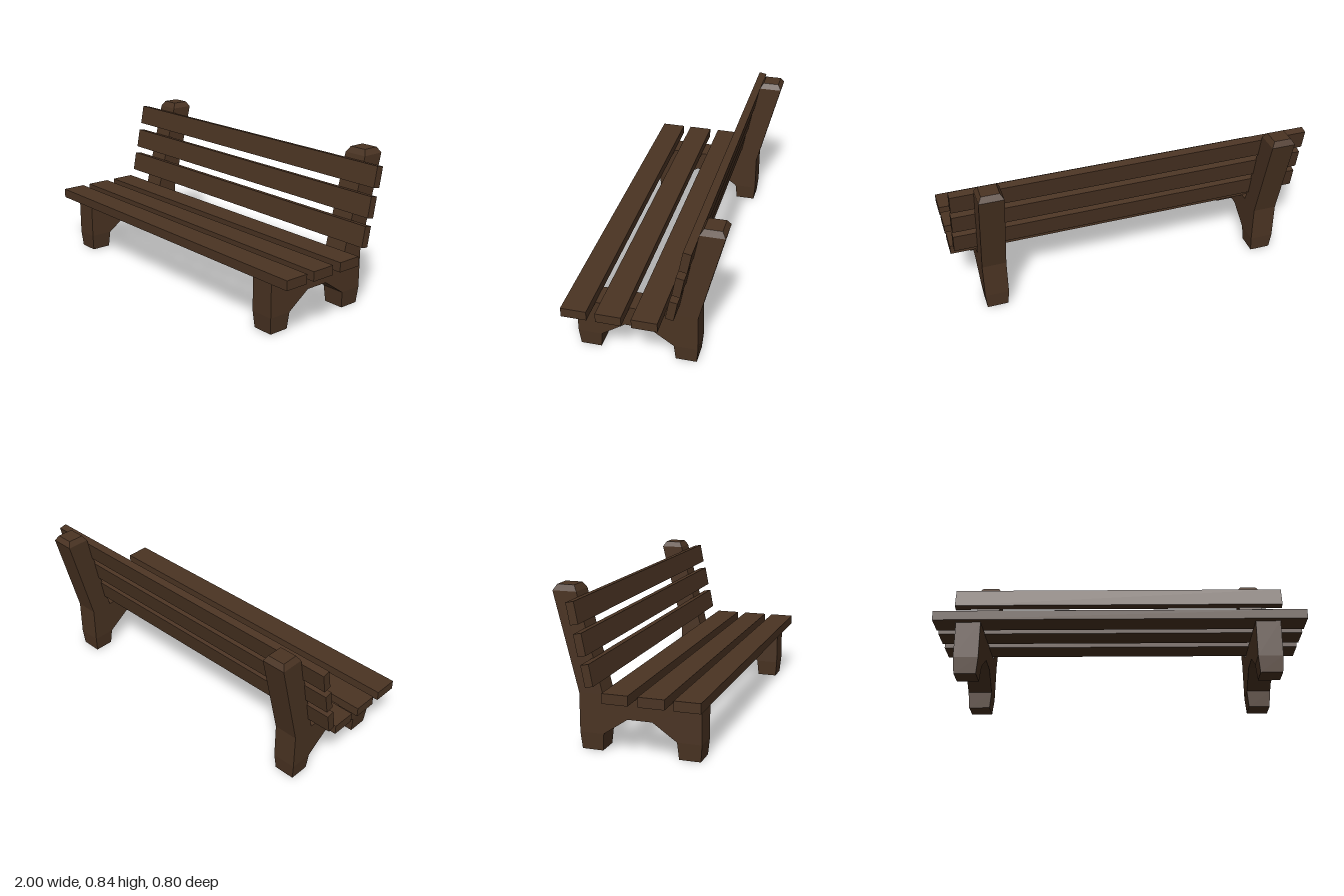
import * as THREE from 'three';

const wood = new THREE.MeshStandardMaterial({ color: 0x4b3423 });
wood.name = 'dark brown wood';

function add(parent, name, geometry, x, y, z) {
  const mesh = new THREE.Mesh(geometry, wood);
  mesh.name = name;
  mesh.position.set(x, y, z);
  parent.add(mesh);
  return mesh;
}

// Box whose top (end = 1) or bottom (end = -1) is drawn in by insetX and insetZ
function taperedBox(w, h, d, end, insetX, insetZ) {
  const geo = new THREE.BoxGeometry(w, h, d);
  const p = geo.attributes.position;
  for (let i = 0; i < p.count; i++) {
    if (p.getY(i) * end < 0) continue;
    p.setX(i, p.getX(i) - Math.sign(p.getX(i)) * insetX);
    p.setZ(i, p.getZ(i) - Math.sign(p.getZ(i)) * insetZ);
  }
  geo.computeVertexNormals();
  return geo;
}

const SUPPORT_WIDTH = 0.132;

// Side frame with arched base and leaning back post, profile as (z, y)
function makeSupport() {
  const support = new THREE.Group();
  const profile = [
    [0.371, 0.091], [0.243, 0.091], [0.115, 0.18], [-0.015, 0.18], [-0.144, 0.091],
    [-0.272, 0.091], [-0.272, 0.296], [-0.401, 0.806], [-0.273, 0.806],
    [-0.144, 0.296], [0.371, 0.296],
  ].map(([z, y]) => new THREE.Vector2(z, y));
  const geo = new THREE.ExtrudeGeometry(new THREE.Shape(profile), {
    depth: SUPPORT_WIDTH, bevelEnabled: false,
  });
  geo.translate(0, 0, -SUPPORT_WIDTH / 2).rotateY(-Math.PI / 2);
  add(support, 'sideFrame', geo, 0, 0, 0);

  // Tapered feet and chamfered post cap
  const foot = taperedBox(SUPPORT_WIDTH, 0.091, 0.128, -1, 0.008, 0.008);
  add(support, 'frontFoot', foot, 0, 0.0455, 0.307);
  add(support, 'backFoot', foot, 0, 0.0455, -0.208);
  const cap = taperedBox(SUPPORT_WIDTH, 0.03, 0.128, 1, 0.018, 0.019);
  add(support, 'postCap', cap, 0, 0.821, -0.337);
  return support;
}

export function createModel() {
  const bench = new THREE.Group();
  bench.name = 'bench';

  for (const [name, x] of [['leftSupport', 0.795], ['rightSupport', -0.799]]) {
    const support = makeSupport();
    support.name = name;
    support.position.x = x;
    bench.add(support);
  }

  // Seat slats
  const seatSlat = new THREE.BoxGeometry(1.986, 0.052, 0.135);
  [0.336, 0.155, -0.032].forEach((z, i) => add(bench, `seatSlat${i + 1}`, seatSlat, 0.007, 0.317, z));

  // Backrest slats, tilted with the posts
  const backSlat = new THREE.BoxGeometry(1.986, 0.112, 0.043);
  [[0.427, -0.167], [0.577, -0.201], [0.729, -0.236]].forEach(([y, z], i) => {
    add(bench, `backSlat${i + 1}`, backSlat, -0.007, y, z).rotation.x = -0.19;
  });

  return bench;
}
